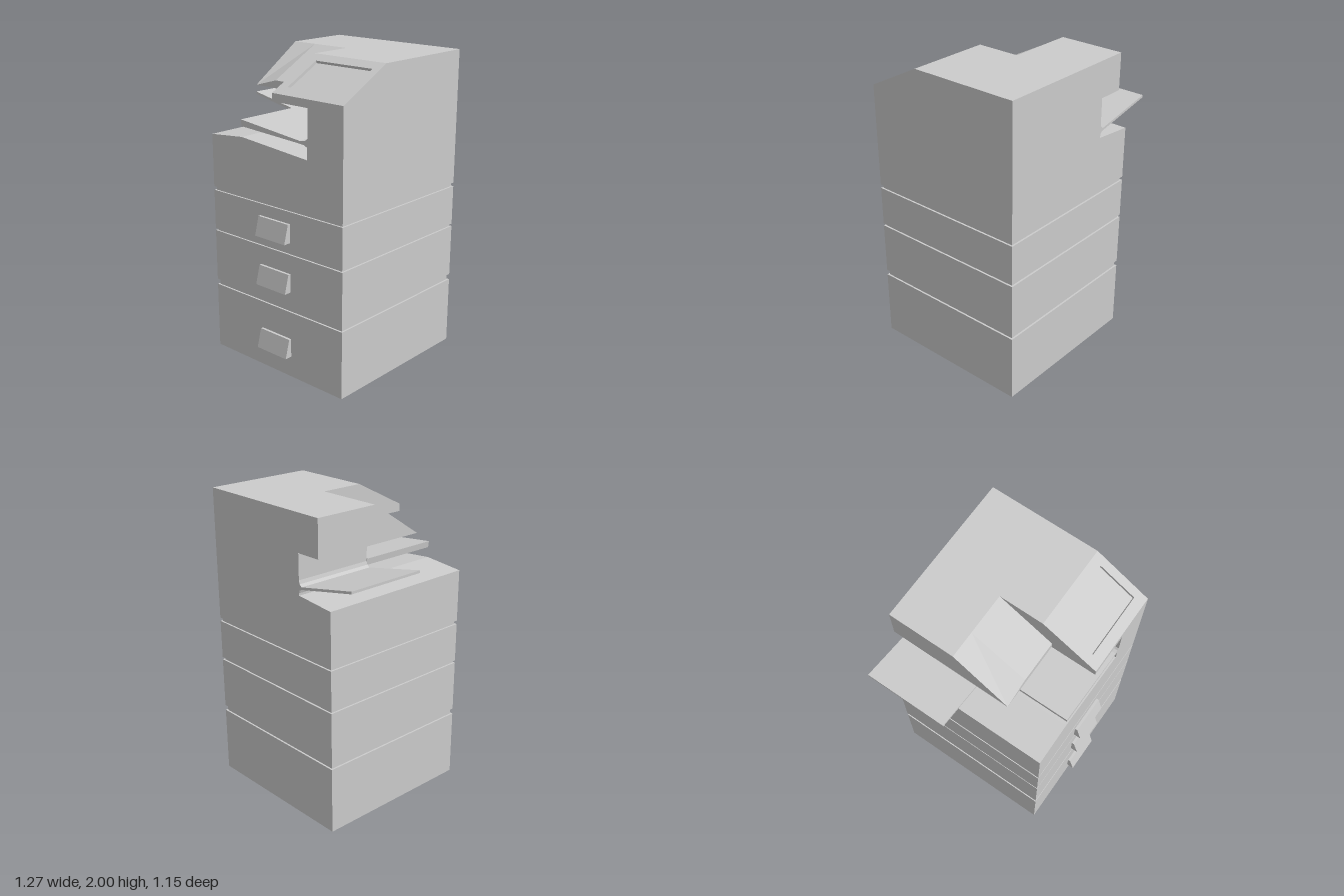
import * as THREE from 'three';

const LEFT = -0.465, RIGHT = 0.635, BACK = -0.575, MID = -0.03, FRONT = 0.53;

export function createModel() {
  const model = new THREE.Group();
  model.name = 'photocopier';
  const material = new THREE.MeshStandardMaterial({ color: 0xcccccc });

  function add(name, geometry) {
    const mesh = new THREE.Mesh(geometry, material);
    mesh.name = name;
    model.add(mesh);
    return mesh;
  }
  function box(name, x0, x1, y0, y1, z0, z1) {
    const g = new THREE.BoxGeometry(x1 - x0, y1 - y0, z1 - z0);
    g.translate((x0 + x1) / 2, (y0 + y1) / 2, (z0 + z1) / 2);
    return add(name, g);
  }
  // Profile of [x, y] points pushed from z0 to z1
  function alongZ(points, z0, z1) {
    const shape = new THREE.Shape(points.map(([x, y]) => new THREE.Vector2(x, y)));
    return new THREE.ExtrudeGeometry(shape, { depth: z1 - z0, bevelEnabled: false }).translate(0, 0, z0);
  }
  // Profile of [z, y] points pushed from x0 to x1
  function alongX(points, x0, x1) {
    const shape = new THREE.Shape(points.map(([z, y]) => new THREE.Vector2(-z, y)));
    return new THREE.ExtrudeGeometry(shape, { depth: x1 - x0, bevelEnabled: false })
      .rotateY(Math.PI / 2).translate(x0, 0, 0);
  }

  // Drawers, the recessed core between them, and their sloping handles
  const drawers = [[0, 0.445, 0.14], [0.482, 0.827, 0.58], [0.843, 1.104, 0.905]];
  const inset = 0.012;
  box('core', LEFT + inset, RIGHT - inset, 0.4, 1.16, BACK + inset, FRONT - inset);
  drawers.forEach(([y0, y1, h]) => {
    box('drawer', LEFT, RIGHT, y0, y1, BACK, FRONT);
    add('drawerHandle', alongX(
      [[FRONT - 0.01, h], [0.58, h], [0.547, h + 0.122], [FRONT - 0.01, h + 0.122]], -0.04, 0.213));
  });

  // Rear half of the printer body, with the paper tray reaching out to the side
  add('rearBodyWithSideTray', alongZ([
    [LEFT, 1.128], [RIGHT, 1.128], [RIGHT, 1.76], [-0.19, 1.76],
    [-0.19, 1.595], [-0.196, 1.572], [-0.214, 1.558],
    [-0.64, 1.643], [-0.64, 1.627],
    [-0.214, 1.542], [-0.196, 1.533], [-0.19, 1.515], [-0.19, 1.5], [LEFT, 1.475],
  ], BACK, MID));

  // Front half, open as an output pocket with a sloping shelf across it
  add('frontBodyWithShelf', alongZ([
    [LEFT, 1.128], [RIGHT, 1.128], [RIGHT, 1.76], [0.365, 1.76],
    [0.365, 1.585], [0.355, 1.572], [0.335, 1.562], [0.3, 1.558],
    [-0.195, 1.61], [-0.19, 1.568],
    [0.29, 1.542], [0.335, 1.538], [0.36, 1.526], [0.36, 1.452],
    [-0.19, 1.5], [LEFT, 1.475],
  ], MID, FRONT));

  // Scanner head; its front lip tapers away towards the outer end
  const scanner = [[BACK, 1.76], [0.23, 1.76], [0.23, 1.81], [-0.135, 2], [BACK, 2]];
  const tip = alongX(scanner, -0.365, -0.19);
  const p = tip.attributes.position;
  for (let i = 0; i < p.count; i++) {
    if (p.getX(i) < -0.36 && Math.abs(p.getY(i) - 1.81) < 0.001) p.setY(i, 1.76);
  }
  tip.computeVertexNormals();
  add('scannerTip', tip);
  add('scannerHead', alongX(scanner, -0.19, 0.08));

  // Control console, with a sunken screen in the sloping face
  const base = [[BACK, 2], [BACK, 1.76], [FRONT, 1.76], [FRONT, 1.81]];
  const slopeTop = [0.16, 2];
  const recess = [[0.465, 1.843], [0.457, 1.827], [0.212, 1.953], [0.22, 1.969]];
  add('consoleInner', alongX([...base, slopeTop], 0.08, 0.145));
  add('consoleScreen', alongX([...base, ...recess, slopeTop], 0.145, 0.58));
  add('consoleOuter', alongX([...base, slopeTop], 0.58, RIGHT));

  return model;
}
